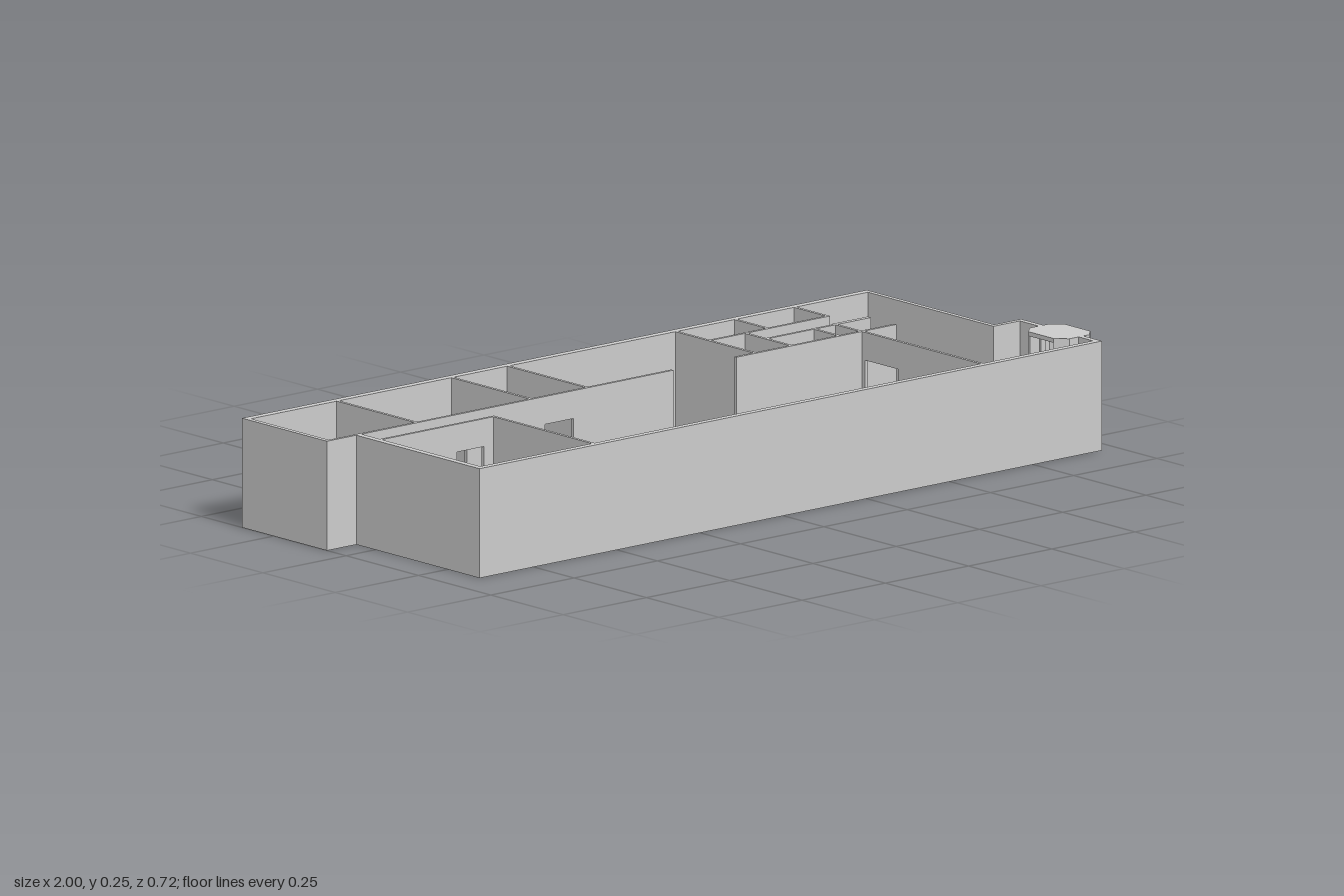
import * as THREE from 'three';

const H = 0.255;      // wall height
const DOOR_H = 0.19;  // doorway height
const OUT = 0.016;    // outer wall thickness
const IN = 0.008;     // partition thickness

export function createModel() {
  const root = new THREE.Group();
  const mat = new THREE.MeshStandardMaterial({ color: 0xcccccc, flatShading: true });

  // Wall along one axis from a to b, centred on c across it; doors are [from, to] pairs
  function wall(name, axis, a, b, c, t, doors = []) {
    const shape = new THREE.Shape();
    shape.moveTo(a, 0);
    for (const [d0, d1] of doors) {
      shape.lineTo(d0, 0);
      shape.lineTo(d0, DOOR_H);
      shape.lineTo(d1, DOOR_H);
      shape.lineTo(d1, 0);
    }
    shape.lineTo(b, 0);
    shape.lineTo(b, H);
    shape.lineTo(a, H);
    const geo = new THREE.ExtrudeGeometry(shape, { depth: t, bevelEnabled: false });
    geo.translate(0, 0, -t / 2);
    if (axis === 'z') {
      geo.rotateY(-Math.PI / 2);
    }
    geo.translate(axis === 'x' ? 0 : c, 0, axis === 'x' ? c : 0);
    const mesh = new THREE.Mesh(geo, mat);
    mesh.name = name;
    root.add(mesh);
  }

  // Outer shell
  wall('backWall', 'x', -1, 0.876, -0.351, 0.018);
  wall('rightBackEndWall', 'z', -0.342, -0.066, -0.994, 0.012);
  wall('rightFrontEndWall', 'z', -0.074, 0.344, -0.904, OUT);
  wall('frontWall', 'x', -0.912, 0.957, 0.352, OUT);
  wall('leftBackEndWall', 'z', -0.342, 0.08, 0.87, 0.012);
  wall('leftStepWall', 'x', 0.864, 0.957, 0.086, 0.012);
  wall('leftFrontEndWallA', 'z', 0.092, 0.165, 0.95, 0.014);
  wall('leftFrontEndWallB', 'z', 0.285, 0.344, 0.95, 0.014);

  // Long corridor walls
  wall('corridorWall', 'x', -0.988, 0.04, -0.07, IN,
    [[-0.84, -0.76], [-0.66, -0.58], [-0.345, -0.26]]);
  wall('corridorWallLeft', 'x', 0.23, 0.71, -0.07, IN);

  // Back room partitions
  for (const x of [-0.727, -0.383, -0.215, 0.29]) {
    wall('backRoomPartition', 'z', -0.342, -0.074, x, IN);
  }

  // Corner room at the front
  wall('cornerRoomBackWall', 'x', -0.896, -0.553, 0, IN, [[-0.67, -0.59]]);
  wall('cornerRoomSideWall', 'z', 0.004, 0.344, -0.557, IN);

  // Cluster of small rooms
  wall('smallRoomWall', 'x', 0.294, 0.65, -0.23, IN);
  wall('smallRoomPartition', 'z', -0.342, -0.234, 0.467, IN);
  wall('smallRoomPartition', 'z', -0.342, -0.226, 0.646, IN);
  wall('smallRoomPartition', 'z', -0.226, -0.074, 0.398, IN);
  wall('smallRoomWall', 'x', 0.402, 0.604, -0.158, IN);
  wall('smallRoomWall', 'x', 0.604, 0.71, -0.16, 0.012);
  wall('smallRoomPartition', 'z', -0.154, -0.074, 0.542, IN);
  wall('smallRoomPartition', 'z', -0.154, -0.074, 0.607, IN);
  wall('entranceHallWall', 'z', -0.066, 0.344, 0.61, IN, [[-0.055, 0.06]]);

  // Octagonal entrance porch: floor, roof and panels, open on the two end faces
  const porch = new THREE.Group();
  porch.name = 'entrancePorch';
  const oct = [
    [1, 0.183], [1, 0.27], [0.975, 0.295], [0.915, 0.295],
    [0.89, 0.27], [0.89, 0.183], [0.915, 0.157], [0.975, 0.157],
  ];
  const CAP = 0.01;
  // Upright prism from plan points given as [x, z]
  function prism(name, pts, y0, y1) {
    const shape = new THREE.Shape(pts.map(([x, z]) => new THREE.Vector2(x, -z)));
    const geo = new THREE.ExtrudeGeometry(shape, { depth: y1 - y0, bevelEnabled: false });
    geo.rotateX(-Math.PI / 2).translate(0, y0, 0);
    const mesh = new THREE.Mesh(geo, mat);
    mesh.name = name;
    porch.add(mesh);
  }
  prism('porchFloor', oct, 0, CAP);
  prism('porchRoof', oct, H - CAP, H);
  const inner = oct.map(([x, z]) => [0.945 + (x - 0.945) * 0.94, 0.226 + (z - 0.226) * 0.96]);
  for (const i of [1, 2, 3, 5, 6, 7]) {
    const j = (i + 1) % 8;
    prism('porchPanel', [oct[i], oct[j], inner[j], inner[i]], CAP, H - CAP);
  }
  root.add(porch);

  return root;
}
